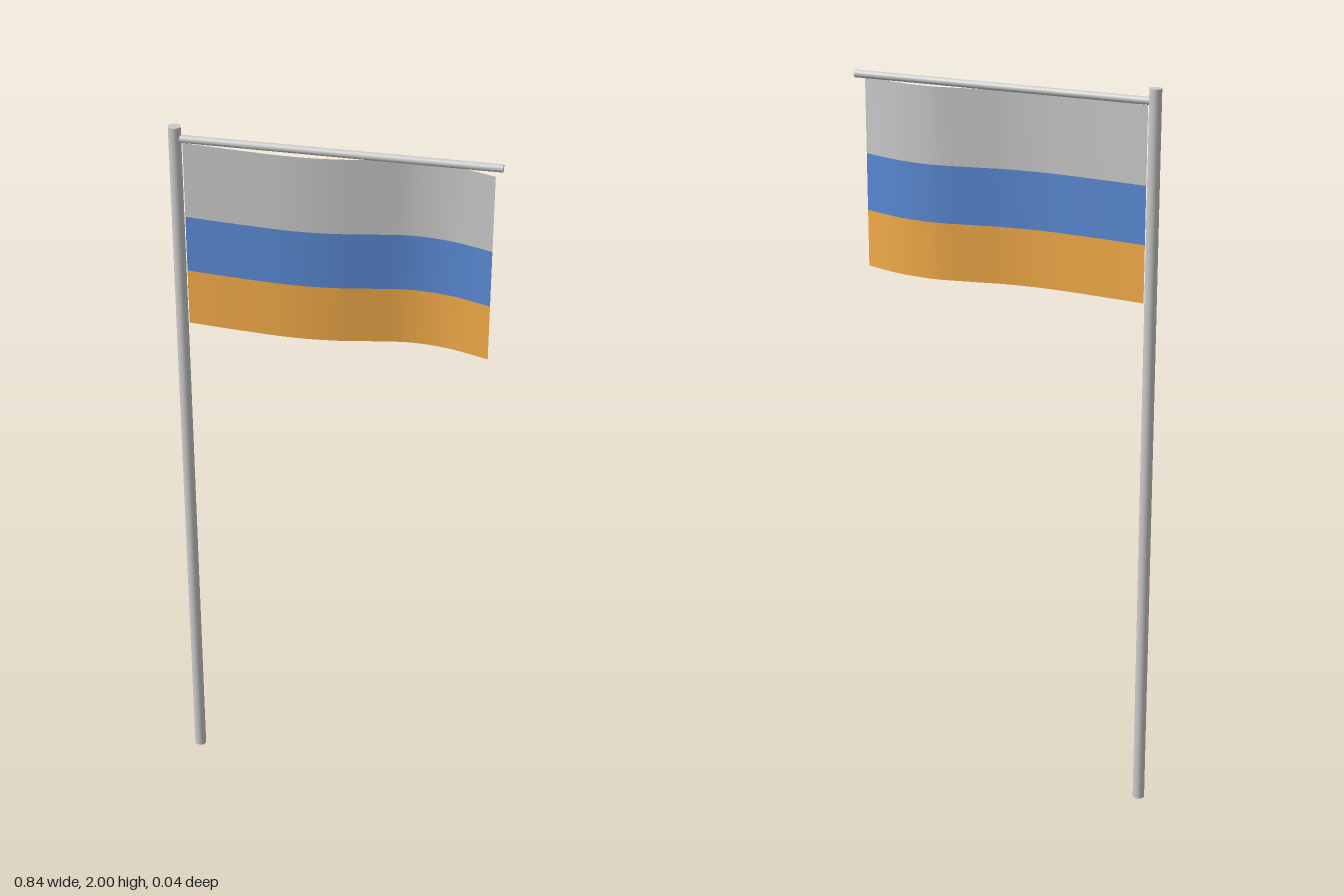
import * as THREE from 'three';

const AXIS_Z = -0.004;

function material(color, side = THREE.FrontSide) {
  return new THREE.MeshStandardMaterial({ color, side });
}

function rod(name, radius, length) {
  const mesh = new THREE.Mesh(new THREE.CylinderGeometry(radius, radius, length, 24), material(0xcccccc));
  mesh.name = name;
  return mesh;
}

// Ripple of the cloth seen from above, as (x, z)
const ripple = new THREE.SplineCurve([
  [-0.385, -0.004], [-0.25, 0.008], [-0.11, 0.016], [0, 0.01],
  [0.1, -0.007], [0.2, -0.021], [0.3, -0.011], [0.405, 0.022],
].map(([x, z]) => new THREE.Vector2(x, z)));

// One horizontal band of cloth bent along the ripple
function stripe(name, bottom, top, color) {
  const geometry = new THREE.PlaneGeometry(1, top - bottom, 48, 1);
  const pos = geometry.attributes.position;
  for (let i = 0; i < pos.count; i++) {
    const p = ripple.getPoint(THREE.MathUtils.clamp(pos.getX(i) + 0.5, 0, 1));
    pos.setXYZ(i, p.x, pos.getY(i) + (top + bottom) / 2, p.y);
  }
  geometry.computeVertexNormals();
  const mesh = new THREE.Mesh(geometry, material(color, THREE.DoubleSide));
  mesh.name = name;
  return mesh;
}

export function createModel() {
  const model = new THREE.Group();
  model.name = 'flagOnPole';

  // Upright pole
  const pole = rod('pole', 0.016, 2);
  pole.position.set(-0.404, 1, AXIS_Z);

  // Horizontal bar along the top of the flag
  const bar = rod('topBar', 0.01, 0.82);
  bar.rotation.z = -Math.PI / 2;
  bar.position.set(0.01, 1.967, AXIS_Z);

  // Cloth in three bands
  const flag = new THREE.Group();
  flag.name = 'flag';
  flag.add(
    stripe('topStripe', 1.75, 1.956, 0xcccccc),
    stripe('middleStripe', 1.595, 1.75, 0x5b8bd6),
    stripe('bottomStripe', 1.44, 1.595, 0xf6ae4a),
  );

  model.add(pole, bar, flag);
  return model;
}
